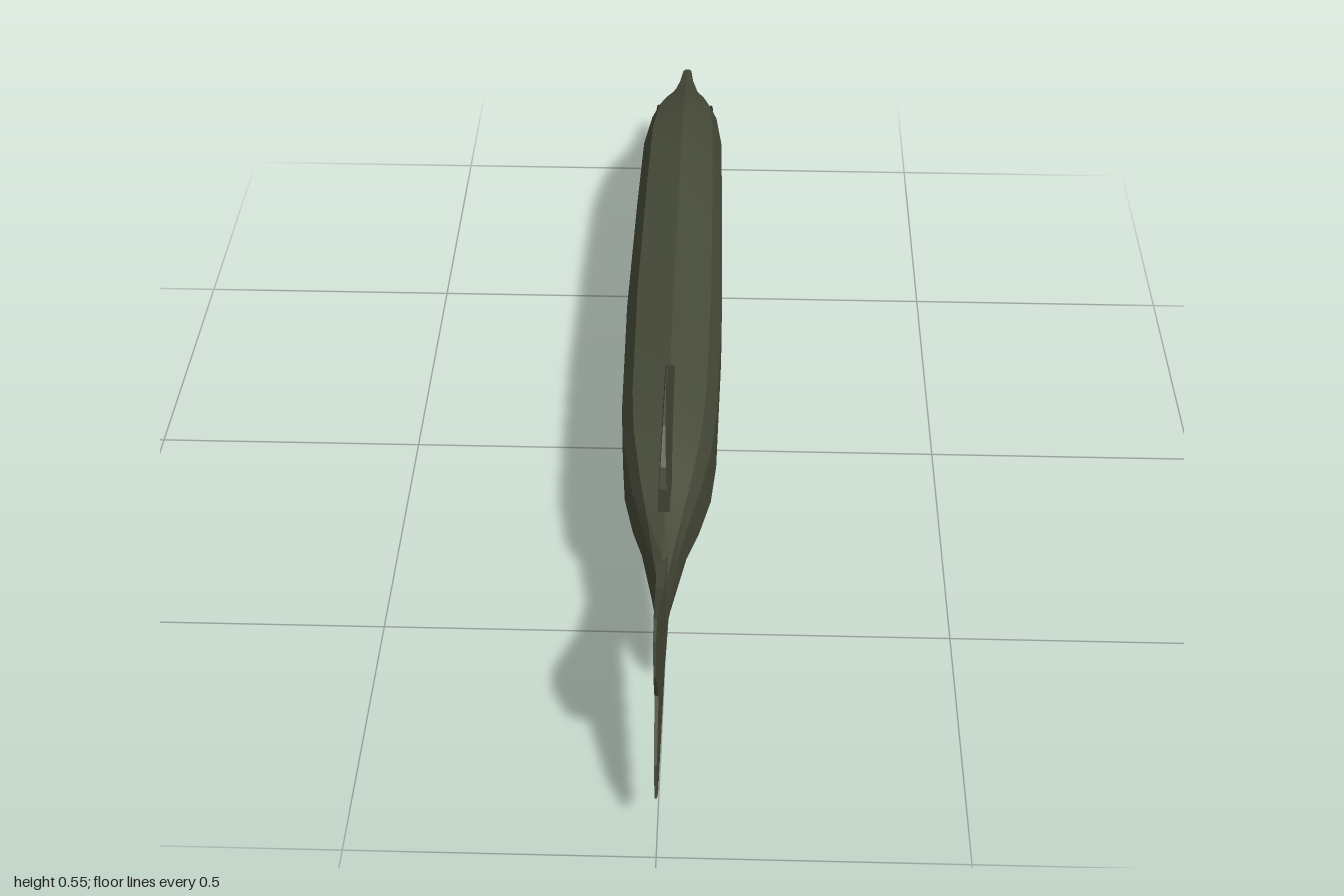
import * as THREE from 'three';
import { toCreasedNormals } from 'three/addons/utils/BufferGeometryUtils.js';

// Skin a list of rings (each an array of [x, y, z], clockwise seen from the first end) and cap both ends.
function loft(rings, crease) {
  const n = rings[0].length, last = (rings.length - 1) * n, index = [];
  for (let i = 0; i < rings.length - 1; i++) {
    for (let j = 0; j < n; j++) {
      const a = i * n + j, b = i * n + (j + 1) % n;
      index.push(a, b, a + n, b, b + n, a + n);
    }
  }
  for (let j = 1; j < n - 1; j++) index.push(0, j + 1, j, last, last + j, last + j + 1);
  const geometry = new THREE.BufferGeometry();
  geometry.setAttribute('position', new THREE.Float32BufferAttribute(rings.flat(2), 3));
  geometry.setIndex(index);
  return toCreasedNormals(geometry, crease);
}

// Ten-sided fish cross-section
function bodyRing([z, top, bottom, w]) {
  const half = [[0, 1], [0.77, 0.91], [1, 0.745], [1, 0.29], [0.77, 0.11], [0, 0]];
  const mirrored = half.slice(1, 5).reverse().map(([x, t]) => [-x, t]);
  return [...half, ...mirrored].map(([x, t]) => [x * w, bottom + t * (top - bottom), z]);
}

// Upright fin: outline in [z, y], with a half thickness that follows a rule
function finBlade(outline, halfThickness) {
  const shape = new THREE.Shape(outline.map(([z, y]) => new THREE.Vector2(-z, y)));
  const geometry = new THREE.ExtrudeGeometry(shape, { depth: 2, bevelEnabled: false });
  geometry.translate(0, 0, -1).rotateY(Math.PI / 2);
  const p = geometry.attributes.position;
  for (let i = 0; i < p.count; i++) p.setX(i, p.getX(i) * halfThickness(p.getZ(i), p.getY(i)));
  geometry.computeVertexNormals();
  return geometry;
}

// Paired fin: slices [y, zFront, zBack, x, half thickness] of lens section
function pairedFin(slices, side) {
  return loft(slices.map(([y, z0, z1, x, t]) => Array.from({ length: 8 }, (_, k) => {
    const a = k * Math.PI / 4;
    return [side * x + t * Math.cos(a), y, (z0 + z1) / 2 + (z1 - z0) / 2 * Math.sin(a)];
  })), 1.0);
}

export function createModel() {
  const group = new THREE.Group();
  const skin = new THREE.MeshStandardMaterial({ color: 0x484c3a });
  skin.name = 'olive skin';
  const dark = new THREE.MeshStandardMaterial({ color: 0x25261e });
  dark.name = 'dark eye';
  const add = (name, geometry, material = skin) => {
    const mesh = new THREE.Mesh(geometry, material);
    mesh.name = name;
    group.add(mesh);
    return mesh;
  };

  // Body and jaws: [z, top, bottom, half width] from tail to snout
  add('body', loft([
    [0.76, 0.335, 0.225, 0.004], [0.68, 0.347, 0.215, 0.017], [0.57, 0.352, 0.208, 0.038],
    [0.5, 0.378, 0.178, 0.056], [0.4, 0.405, 0.147, 0.075], [0.3, 0.412, 0.137, 0.083],
    [0, 0.414, 0.135, 0.088], [-0.35, 0.408, 0.136, 0.084], [-0.59, 0.39, 0.15, 0.08],
    [-0.72, 0.36, 0.168, 0.068], [-0.78, 0.34, 0.178, 0.052], [-0.83, 0.32, 0.19, 0.035],
    [-0.88, 0.303, 0.203, 0.022],
  ].map(bodyRing), 0.3));
  add('upperJaw', loft([
    [-0.87, 0.305, 0.24, 0.024], [-0.93, 0.287, 0.248, 0.014], [-0.99, 0.27, 0.254, 0.009],
    [-1, 0.265, 0.257, 0.006],
  ].map(bodyRing), 0.3));
  add('lowerJaw', loft([
    [-0.87, 0.24, 0.201, 0.023], [-0.91, 0.232, 0.212, 0.016], [-0.98, 0.244, 0.228, 0.01],
    [-1, 0.246, 0.237, 0.006],
  ].map(bodyRing), 0.3));

  // Single fins
  add('dorsalFin', finBlade([
    [0.25, 0.4], [0.266, 0.418], [0.405, 0.52], [0.49, 0.552], [0.566, 0.53], [0.62, 0.488],
    [0.63, 0.45], [0.614, 0.388], [0.52, 0.365], [0.5, 0.33], [0.4, 0.37],
  ], (z, y) => THREE.MathUtils.mapLinear(y, 0.36, 0.552, 0.011, 0.001)));
  add('analFin', finBlade([
    [0.35, 0.15], [0.357, 0.138], [0.48, 0.064], [0.555, 0.043], [0.64, 0.06], [0.657, 0.112],
    [0.646, 0.17], [0.61, 0.21], [0.56, 0.23], [0.45, 0.2],
  ], (z, y) => THREE.MathUtils.mapLinear(y, 0.21, 0.043, 0.011, 0.001)));
  add('tailFin', finBlade([
    [0.67, 0.34], [0.69, 0.35], [0.78, 0.38], [0.96, 0.488], [1, 0.482], [1, 0.407], [0.94, 0.305],
    [1, 0.214], [1, 0.14], [0.968, 0.118], [0.78, 0.19], [0.69, 0.22], [0.67, 0.225],
  ], (z) => THREE.MathUtils.mapLinear(z, 0.67, 1, 0.009, 0.002)));

  // Paired fins and eyes
  for (const [side, label] of [[1, 'left'], [-1, 'right']]) {
    add(label + 'PectoralFin', pairedFin([
      [0.175, -0.6, -0.545, 0.042, 0.007], [0.13, -0.595, -0.517, 0.052, 0.008],
      [0.09, -0.58, -0.493, 0.058, 0.007], [0.035, -0.535, -0.468, 0.064, 0.004],
      [0.012, -0.512, -0.476, 0.067, 0.002], [0, -0.495, -0.486, 0.069, 0.001],
    ], side));
    add(label + 'PelvicFin', pairedFin([
      [0.165, -0.095, -0.02, 0.042, 0.007], [0.13, -0.082, 0.022, 0.052, 0.008],
      [0.075, -0.048, 0.056, 0.06, 0.006], [0.035, 0, 0.063, 0.064, 0.004],
      [0.015, 0.03, 0.055, 0.067, 0.001],
    ], side));
    const eye = add(label + 'Eye', new THREE.SphereGeometry(0.01, 10, 8), dark);
    eye.scale.x = 0.4;
    eye.position.set(side * 0.056, 0.31, -0.755);
  }
  return group;
}
